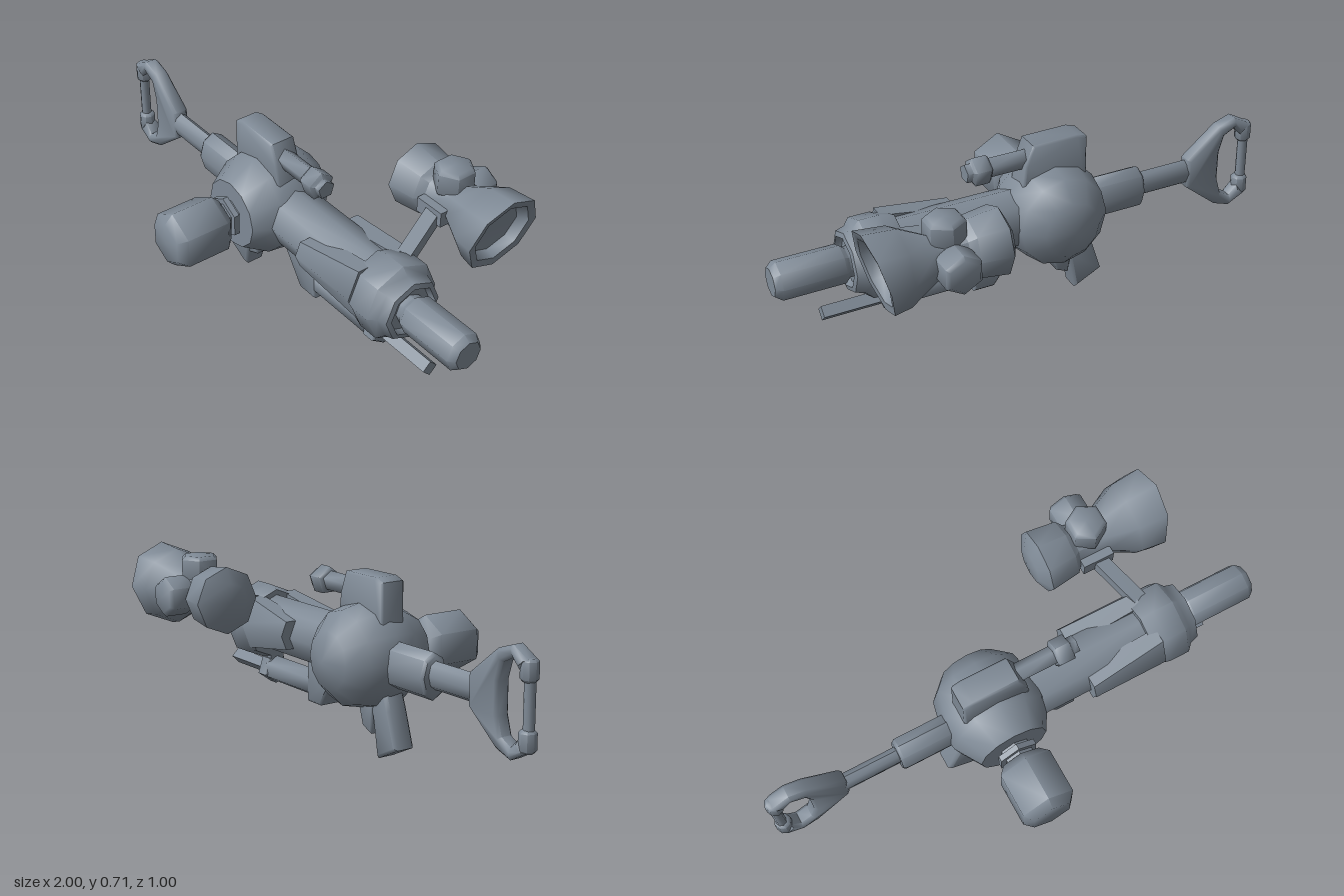
import * as THREE from 'three';
import { toCreasedNormals } from 'three/addons/utils/BufferGeometryUtils.js';

const steel = new THREE.MeshStandardMaterial({ color: 0x7f8a96 });
steel.name = 'blue grey steel';
const AXIS_Y = 0.377, AXIS_Z = 0.034;

export function createModel() {
  const model = new THREE.Group();
  model.name = 'toyBlaster';

  const add = (name, geometry, x = 0, y = 0, z = 0, crease = 0.9) => {
    const mesh = new THREE.Mesh(toCreasedNormals(geometry, crease), steel);
    mesh.name = name;
    mesh.position.set(x, y, z);
    model.add(mesh);
    return mesh;
  };

  // Faceted turned part: profile of [radius, distance along axis]
  const turned = (profile, sides, axis = 'x', phase = 0) => {
    const g = new THREE.LatheGeometry(profile.map(p => new THREE.Vector2(...p)), sides, phase);
    if (axis === 'x') g.rotateZ(-Math.PI / 2);
    if (axis === 'z') g.rotateX(Math.PI / 2);
    return g;
  };
  const rod = (r, a, b, c = 0) => c
    ? [[0, a], [r - c, a], [r, a + c], [r, b - c], [r - c, b], [0, b]]
    : [[0, a], [r, a], [r, b], [0, b]];

  // Flat outline in x and y, given thickness around z = 0
  const slab = (points, width, bevel = 0.008) => {
    const shape = new THREE.Shape(points.map(p => new THREE.Vector2(...p)));
    const g = new THREE.ExtrudeGeometry(shape, {
      depth: width - 2 * bevel, bevelEnabled: bevel > 0, bevelSize: bevel,
      bevelThickness: bevel, bevelOffset: -bevel, bevelSegments: 1,
    });
    return g.translate(0, 0, -width / 2 + bevel);
  };

  // Stock: open handle closed by a bar, then stem and collar
  const upper = [[-0.84, 0.172], [-0.91, 0.196], [-0.985, 0.155],
    [-0.945, 0.115], [-0.91, 0.152], [-0.865, 0.128], [-0.845, 0.06]];
  const lower = upper.map(([x, y]) => [x, -y]).reverse();
  add('stockHandle', slab([[-0.7, -0.06], [-0.7, 0.06], ...upper, ...lower], 0.065, 0.012), 0, AXIS_Y, 0.027);
  add('handleBar', turned(rod(0.02, -0.15, 0.15), 8, 'y'), -0.972, AXIS_Y, 0.027);
  for (const s of [-1, 1]) {
    add('handleBarEnd', turned(rod(0.032, -0.04, 0.04, 0.01), 8, 'y'), -0.968, AXIS_Y + s * 0.12, 0.027);
  }
  add('stockStem', turned(rod(0.052, -0.72, -0.45), 8).scale(1, 1, 0.58), 0, AXIS_Y, 0.029);
  add('stockCollar', turned(rod(0.088, -0.49, -0.22, 0.012), 8).scale(1, 1, 0.68), 0, 0.37, 0.029);

  // Round body, flat on the front side
  add('body', turned([[0, -0.185], [0.112, -0.157], [0.18, -0.09], [0.205, 0.02],
    [0.195, 0.11], [0.135, 0.21], [0, 0.21]], 12, 'z'), -0.1, AXIS_Y, 0);

  // Hexagonal drum on the front side
  add('drumNeck', turned(rod(0.06, 0.2, 0.28), 6, 'z'), -0.1, AXIS_Y);
  add('drumFlange', turned(rod(0.083, 0.224, 0.246), 6, 'z'), -0.1, AXIS_Y);
  add('drum', turned(rod(0.117, 0.262, 0.499, 0.033), 6, 'z'), -0.1, 0.373, 0, 1.1);

  // Top housing and its small barrel
  add('topHousing', slab([[-0.235, 0.45], [0.04, 0.45], [0.02, 0.6], [-0.012, 0.68],
    [-0.195, 0.682], [-0.235, 0.668]], 0.104), 0, 0, 0.037);
  add('topBarrel', turned(rod(0.038, -0.02, 0.17), 5, 'x', -Math.PI / 2), 0, 0.612, 0.037, 1.3);
  add('topBarrelTip', turned([[0, 0.15], [0.045, 0.15], [0.055, 0.16], [0.055, 0.215],
    [0.036, 0.222], [0.036, 0.245], [0, 0.245]], 5, 'x', -Math.PI / 2), 0, 0.61, 0.037, 1.3);

  // Main barrel, sleeve and muzzle
  add('barrel', turned(rod(0.115, 0, 0.58), 8), 0, AXIS_Y + 0.004, AXIS_Z);
  add('sleeve', turned([[0, 0.525], [0.14, 0.525], [0.155, 0.58], [0.155, 0.66], [0.128, 0.685],
    [0.118, 0.72], [0.098, 0.725], [0.09, 0.7], [0, 0.7]], 8), 0, AXIS_Y, AXIS_Z);
  add('muzzle', turned([[0, 0.68], [0.058, 0.68], [0.058, 0.72], [0.075, 0.74], [0.075, 0.975],
    [0.055, 1], [0, 1]], 8), 0, 0.375, AXIS_Z);

  // Tapered side fins running back from the sleeve
  for (const s of [-1, 1]) {
    const g = new THREE.BoxGeometry(0.3, 2, 1, 1, 2, 1);
    const p = g.attributes.position;
    for (let i = 0; i < p.count; i++) {
      const front = p.getX(i) > 0, outer = p.getZ(i) * s > 0;
      const y = p.getY(i) * (front ? 0.105 : 0.055);
      p.setY(i, y);
      p.setZ(i, s * (outer ? 0.153 - Math.abs(y) * 0.4 : 0.05));
    }
    add('sideFin', g, 0.41, 0.393, AXIS_Z);
  }

  // Under-barrel tube with its brackets and thin rod
  add('underBracket', slab([[0.05, 0.28], [0.14, 0.145], [0.155, 0.126], [0.24, 0.126], [0.24, 0.3]], 0.1), 0, 0, AXIS_Z);
  add('underTube', turned(rod(0.054, 0.2, 0.54), 6, 'x', Math.PI / 2), 0, 0.19, AXIS_Z, 1.1);
  add('underClamp', turned(rod(0.06, 0.525, 0.587, 0.008), 5, 'x', Math.PI / 2), 0, 0.188, AXIS_Z);
  add('underClampPost', new THREE.BoxGeometry(0.06, 0.09, 0.06), 0.556, 0.24, AXIS_Z);
  add('underRod', turned(rod(0.031, 0.57, 0.825), 4), 0, 0.187, AXIS_Z);

  // Grip and trigger guard
  add('grip', slab([[-0.24, 0.28], [-0.27, 0.2], [-0.315, 0.06], [-0.2, 0.004],
    [-0.17, 0.16], [-0.12, 0.28]], 0.09, 0.012), 0, 0, 0.036);
  add('triggerGuard', slab([[-0.19, 0.25], [-0.175, 0.15], [-0.165, 0.09], [-0.115, 0.112],
    [-0.09, 0.19], [-0.08, 0.25]], 0.102), 0, 0, 0.038);

  // Scope with slanted hooded front
  const scope = turned([[0, 0.26], [0.07, 0.264], [0.128, 0.295], [0.113, 0.41], [0.085, 0.435],
    [0.085, 0.55], [0.146, 0.665], [0.157, 0.755], [0.126, 0.75], [0.108, 0.71], [0, 0.7]], 8);
  const sp = scope.attributes.position;
  for (let i = 0; i < sp.count; i++) {
    if (sp.getX(i) > 0.69) sp.setX(i, sp.getX(i) + sp.getY(i) * 0.23);
  }
  const SY = 0.554, SZ = -0.336;
  add('scope', scope, 0, SY, SZ);
  add('scopeTopKnob', turned(rod(0.076, 0.04, 0.147, 0.014), 6, 'y'), 0.495, SY, SZ, 1.1);
  add('scopeSideKnob', turned(rod(0.076, -0.164, -0.05, 0.014), 6, 'z'), 0.495, SY, SZ, 1.1);
  add('scopeMountPlate', new THREE.BoxGeometry(0.125, 0.06, 0.09), 0.495, 0.543, -0.27);

  // Arm joining scope and sleeve
  const a = new THREE.Vector3(0.5, 0.535, -0.25), b = new THREE.Vector3(0.59, 0.455, 0);
  const arm = add('scopeArm', new THREE.BoxGeometry(0.055, 0.05, a.distanceTo(b)));
  arm.position.copy(a).lerp(b, 0.5);
  arm.lookAt(b);

  return model;
}
